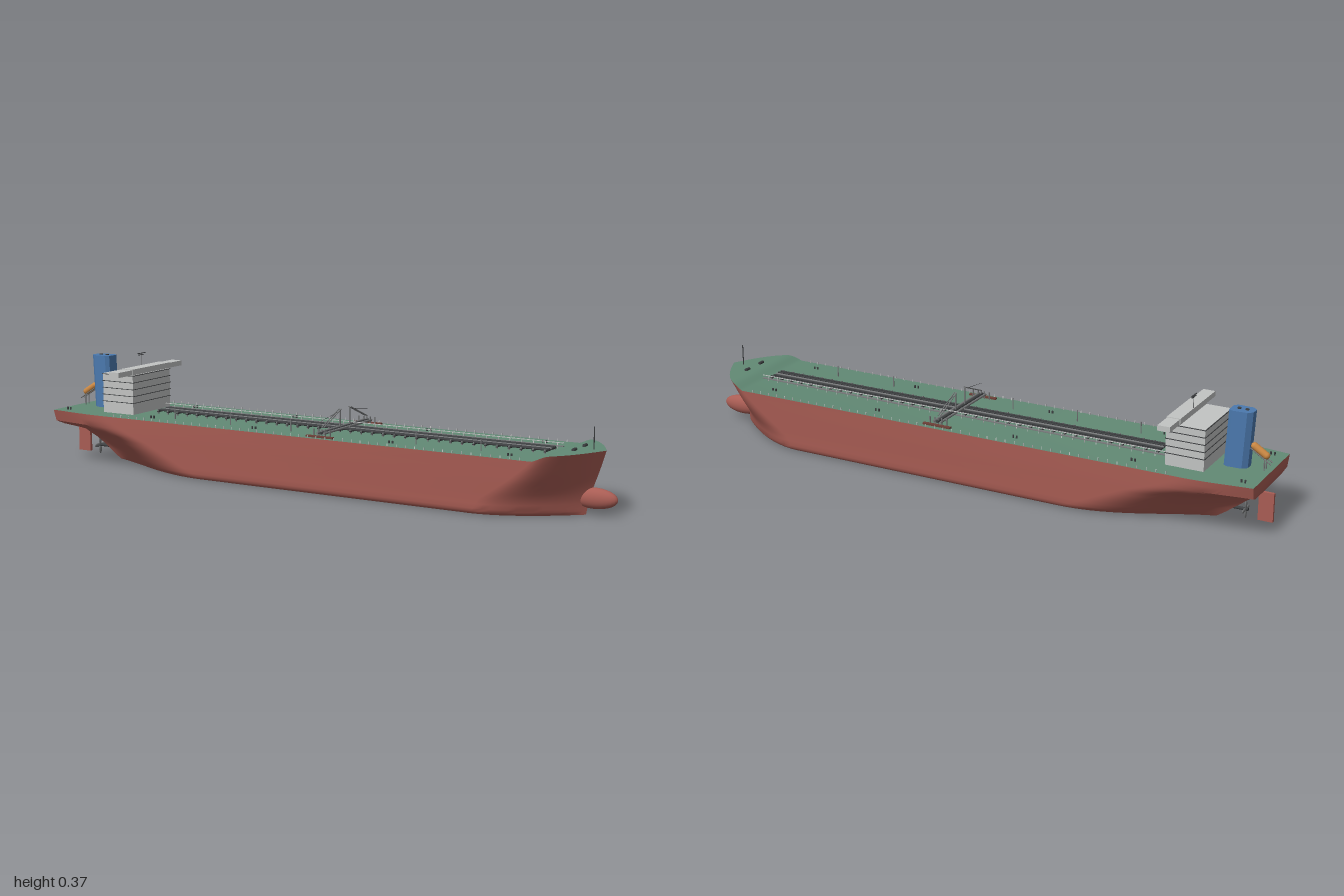
import * as THREE from 'three';
import { toCreasedNormals } from 'three/addons/utils/BufferGeometryUtils.js';

const mat = (name, color, side = THREE.FrontSide) => {
  const m = new THREE.MeshStandardMaterial({ color, side });
  m.name = name;
  return m;
};

const DECK = 0.178, BEAM = 0.177;
const lerp = THREE.MathUtils.lerp;

// Piecewise linear lookup in a list of [input, output] pairs
function pick(pairs, v) {
  for (let i = 1; i < pairs.length; i++) {
    const [a, fa] = pairs[i - 1], [b, fb] = pairs[i];
    if (v <= b) return lerp(fa, fb, Math.max(0, (v - a) / (b - a)));
  }
  return pairs[pairs.length - 1][1];
}

// Hull lines by height: ends, start of the taper and transom half width
const sternEnd = [[0, -0.82], [0.02, -0.85], [0.05, -0.89], [0.1, -0.95], [0.125, -0.978], [0.14, -0.985], [DECK, -0.987]];
const sternWidth = [[0, 0.004], [0.06, 0.005], [0.1, 0.035], [0.125, 0.11], [0.14, 0.145], [DECK, 0.156]];
const sternStart = [[0, -0.36], [0.1, -0.58], [0.15, -0.72], [DECK, -0.76]];
const bowStart = [[0, 0.6], [0.05, 0.63], [0.12, 0.73], [DECK, 0.8]];
const bowEnd = [[0, 0.9], [0.04, 0.907], [0.08, 0.92], [DECK, 0.96]];
const levels = [0, 0.002, 0.006, 0.012, 0.02, 0.035, 0.05, 0.07, 0.085, 0.1, 0.112, 0.125, 0.14, 0.16, DECK];
const N = 18;

// Point on the port side at column i of the waterline at height y
function hullPoint(i, y) {
  let x, w;
  if (i <= N) {
    const u = i / N, e = pick(sternWidth, y);
    x = lerp(pick(sternEnd, y), pick(sternStart, y), u);
    w = e + (BEAM - e) * Math.pow(Math.sin(u * Math.PI / 2), 1.2);
  } else {
    const s = Math.sin(((i - N - 1) / N) * Math.PI / 2);
    x = lerp(pick(bowStart, y), pick(bowEnd, y), s);
    w = BEAM * (1 - Math.pow(s, lerp(1.7, 2, y / DECK)));
  }
  const r = 0.02;
  if (y < r) w *= 1 - (r - Math.sqrt(r * r - (r - y) ** 2)) / BEAM;
  const rise = 0.019 * THREE.MathUtils.smoothstep(x, 0.79, 0.85) + 0.02 * Math.max(0, x - 0.85);
  return [x, y + rise * Math.pow(y / DECK, 3), w];
}

function geometryFrom(pos, index) {
  const g = new THREE.BufferGeometry();
  g.setAttribute('position', new THREE.Float32BufferAttribute(pos, 3));
  g.setIndex(index);
  return toCreasedNormals(g, 0.6);
}

// Shell of cross-sections running from starboard deck edge to port deck edge
function hullGeometry() {
  const pos = [], index = [], L = levels.length, M = 2 * L, cols = 2 * N + 2;
  for (let i = 0; i < cols; i++) {
    for (let j = 0; j < M; j++) {
      const [x, y, w] = hullPoint(i, levels[j < L ? L - 1 - j : j - L]);
      pos.push(x, y, j < L ? -w : w);
    }
  }
  const quad = (a, b, c, d) => index.push(a, b, c, a, c, d);
  for (let i = 0; i < cols - 1; i++)
    for (let j = 0; j < M - 1; j++)
      quad(i * M + j, (i + 1) * M + j, (i + 1) * M + j + 1, i * M + j + 1);
  for (let k = 0; k < L - 1; k++) quad(L - 1 - k, L + k, L + k + 1, L - 2 - k);
  return geometryFrom(pos, index);
}

function deckGeometry() {
  const pos = [], index = [], cols = 2 * N + 2;
  for (let i = 0; i < cols; i++) {
    const [x, y, w] = hullPoint(i, DECK);
    pos.push(x, y, -w, x, y, w);
    if (i) {
      const a = 2 * i - 2;
      index.push(a, a + 1, a + 3, a, a + 3, a + 2);
    }
  }
  return geometryFrom(pos, index);
}

export function createModel() {
  const red = mat('hull red', 0xa95d54, THREE.DoubleSide);
  const green = mat('deck green', 0x628a75);
  const grey = mat('house grey', 0xc2c4c3);
  const steel = mat('pipe grey', 0x77797a);
  const dark = mat('dark grey', 0x3e4042);
  const blue = mat('funnel blue', 0x4b79ae);
  const orange = mat('lifeboat orange', 0xc98743);
  const brown = mat('tray brown', 0x6e4038);
  const root = new THREE.Group();
  root.name = 'tanker';

  const add = (name, geo, m, x = 0, y = 0, z = 0) => {
    const mesh = new THREE.Mesh(geo, m);
    mesh.name = name;
    mesh.position.set(x, y, z);
    root.add(mesh);
    return mesh;
  };
  const box = (name, m, x0, x1, y0, y1, z0, z1) =>
    add(name, new THREE.BoxGeometry(x1 - x0, y1 - y0, z1 - z0), m, (x0 + x1) / 2, (y0 + y1) / 2, (z0 + z1) / 2);
  const rod = (name, m, a, b, r, sides = 8) => {
    const p = new THREE.Vector3(...a), d = new THREE.Vector3(...b).sub(p);
    const mesh = add(name, new THREE.CylinderGeometry(r, r, d.length(), sides), m);
    mesh.position.copy(p).addScaledVector(d, 0.5);
    mesh.quaternion.setFromUnitVectors(new THREE.Vector3(0, 1, 0), d.normalize());
    return mesh;
  };

  // Hull, deck and bulbous bow
  add('hull', hullGeometry(), red);
  add('deck', deckGeometry(), green);
  add('bulbousBow', new THREE.SphereGeometry(1, 28, 18), red, 0.925, 0.053, 0).scale.set(0.075, 0.032, 0.024);

  // Rudder and propeller
  box('rudder', red, -1, -0.952, 0.015, 0.108, -0.005, 0.005);
  rod('propellerShaft', dark, [-0.92, 0.04, 0], [-0.86, 0.04, 0], 0.005, 12);
  for (let i = 0; i < 4; i++) {
    const a = i * Math.PI / 2, blade = add('propellerBlade', new THREE.SphereGeometry(1, 10, 8), steel,
      -0.912, 0.04 + Math.cos(a) * 0.015, Math.sin(a) * 0.015);
    blade.scale.set(0.003, 0.015, 0.007);
    blade.rotation.x = a;
  }

  // Deckhouse with dark floor edges and the bridge across the top
  box('deckhouse', grey, -0.812, -0.688, DECK, 0.311, -0.105, 0.105);
  for (let i = 0; i < 5; i++) {
    const y = 0.216 + i * 0.023;
    box('floorEdge', dark, -0.814, -0.686, y, y + 0.0018, -0.108, 0.108);
  }
  box('bridge', grey, -0.732, -0.688, 0.312, 0.331, -0.105, 0.105);
  for (const s of [-1, 1]) box('bridgeWing', grey, -0.73, -0.69, 0.312, 0.329, s < 0 ? -0.179 : 0.1, s < 0 ? -0.1 : 0.179);
  rod('radarMast', steel, [-0.73, 0.33, 0], [-0.73, 0.372, 0], 0.0012);
  box('radarBar', dark, -0.732, -0.728, 0.371, 0.373, -0.021, 0.021);
  box('radarBar', dark, -0.732, -0.728, 0.366, 0.368, -0.015, 0.015);

  // Funnel: eight-sided prism leaning aft
  const outline = [[-0.04, 0.014], [-0.025, 0.027], [0.022, 0.029], [0.034, 0.02]];
  const ring = [...outline, ...outline.slice().reverse().map(([x, z]) => [x, -z])];
  const funnelGeo = new THREE.ExtrudeGeometry(new THREE.Shape(ring.map(p => new THREE.Vector2(...p))),
    { depth: 0.178, bevelEnabled: false });
  funnelGeo.rotateX(-Math.PI / 2);
  const fp = funnelGeo.attributes.position;
  for (let i = 0; i < fp.count; i++) fp.setX(i, fp.getX(i) - fp.getY(i) * 0.05);
  funnelGeo.computeVertexNormals();
  add('funnel', funnelGeo, blue, -0.876, DECK, 0);
  for (const x of [-0.9, -0.875]) rod('exhaustPipe', dark, [x, 0.35, 0], [x, 0.359, 0], 0.006, 12);

  // Free-fall lifeboat on its ramp
  const boat = add('lifeboat', new THREE.CapsuleGeometry(0.011, 0.045, 6, 14), orange, -0.948, 0.235, 0);
  boat.rotation.z = -Math.PI / 2 + 0.56;
  for (const z of [-0.009, 0.009]) {
    rod('boatRamp', steel, [-0.985, 0.2, z], [-0.91, 0.247, z], 0.002);
    rod('rampLeg', steel, [-0.965, DECK, z], [-0.965, 0.212, z], 0.002);
  }

  // Cargo pipes, cross supports and the raised walkway
  for (const z of [-0.03, -0.015, 0, 0.014, 0.028])
    rod('cargoPipe', z === 0 ? steel : dark, [-0.64, 0.189, z], [0.785, 0.189, z], 0.0032);
  for (let i = 0; i <= 36; i++) {
    const x = -0.635 + i * 0.0393;
    box('pipeSupport', dark, x - 0.003, x + 0.003, 0.183, 0.186, -0.04, 0.04);
    for (const z of [-0.036, 0.036]) box('supportLeg', steel, x - 0.002, x + 0.002, DECK, 0.191, z - 0.002, z + 0.002);
    box('walkwayPost', grey, x - 0.001, x + 0.001, DECK, 0.198, -0.056, -0.054);
  }
  box('walkway', steel, -0.67, 0.8, 0.187, 0.189, -0.06, -0.049);
  box('walkwayRail', grey, -0.67, 0.8, 0.197, 0.199, -0.056, -0.054);

  // Loading manifold across the middle
  for (const x of [0.058, 0.07, 0.082]) rod('manifoldPipe', x === 0.07 ? dark : steel, [x, 0.192, -0.15], [x, 0.192, 0.15], 0.004);
  for (const s of [-1, 1]) {
    box('dripTray', brown, 0.02, 0.118, DECK, 0.184, s * 0.153 - 0.006, s * 0.153 + 0.006);
    for (const x of [0.04, 0.058, 0.07, 0.082, 0.1]) rod('manifoldPost', steel, [x, DECK, s * 0.142], [x, 0.204, s * 0.142], 0.0025);
    // Hose cranes
    rod('craneMast', steel, [0.07, DECK, s * 0.03], [0.07, 0.252, s * 0.03], 0.0025);
    for (const x of [0.066, 0.074]) rod('craneBoom', steel, [x, 0.252, s * 0.03], [x, 0.208, s * 0.136], 0.0018);
    rod('craneStay', dark, [0.07, 0.244, s * 0.045], [0.07, 0.23, s * 0.145], 0.0006, 5);
  }

  // Deck posts, edge stanchions, bollards and bow mast
  for (const x of [-0.52, -0.3, -0.07, 0.38, 0.6]) rod('ventPost', steel, [x, DECK, 0.1], [x, 0.216, 0.1], 0.002);
  for (const s of [-1, 1]) {
    for (let i = 0; i < 48; i++) {
      const x = -0.72 + i * 0.0315;
      box('stanchion', grey, x - 0.001, x + 0.001, DECK, 0.187, s * 0.172 - 0.001, s * 0.172 + 0.001);
    }
    for (const x of [-0.95, -0.6, -0.2, 0.3, 0.7])
      for (const d of [0, 0.012]) rod('bollard', dark, [x + d, DECK, s * 0.125], [x + d, 0.187, s * 0.125], 0.003);
    rod('windlass', dark, [0.875, 0.201, s * 0.03], [0.875, 0.201, s * 0.05], 0.005, 12);
  }
  rod('bowMast', dark, [0.92, 0.195, 0], [0.92, 0.268, 0], 0.0018);
  return root;
}
